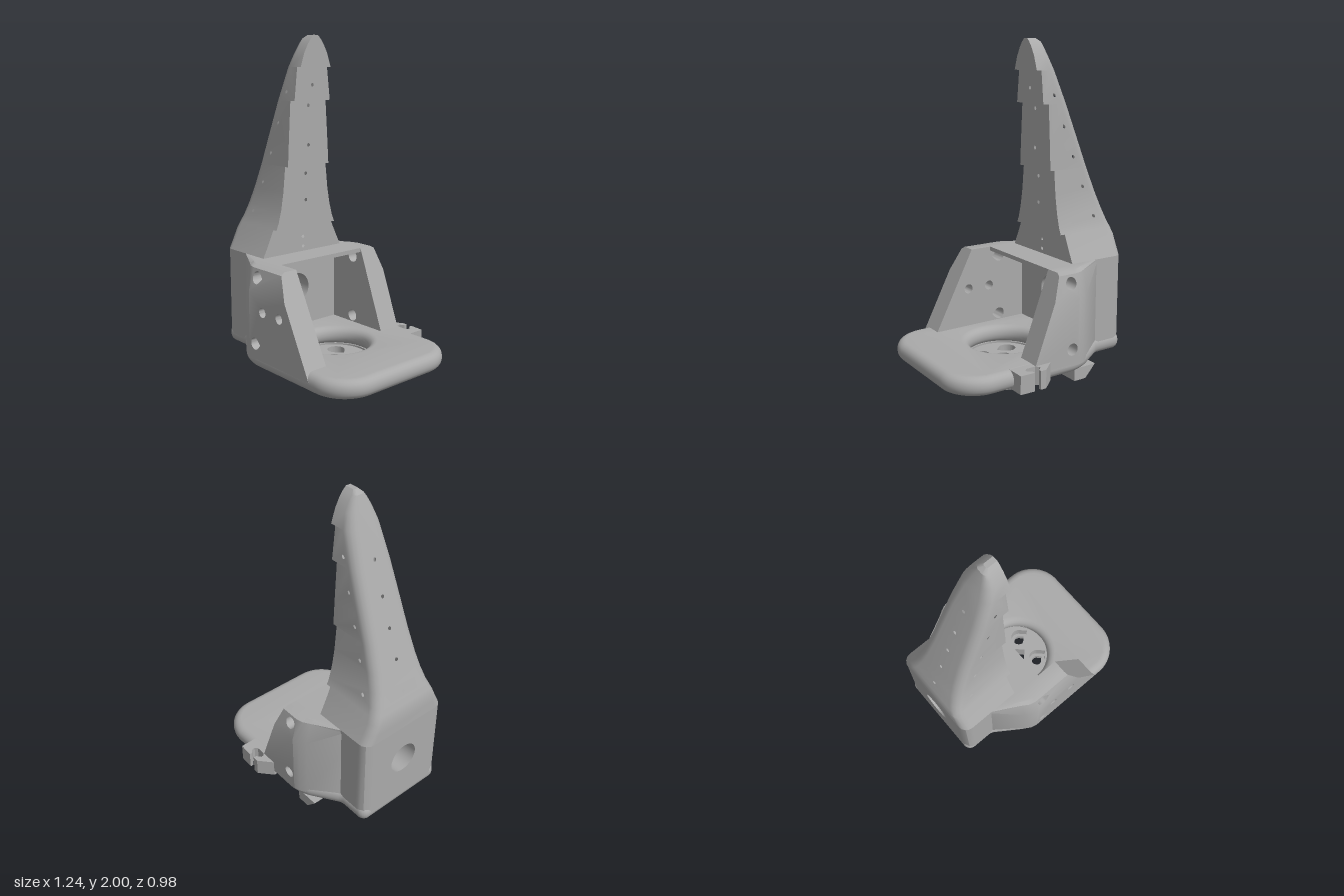
import * as THREE from 'three';
import { mergeGeometries, toCreasedNormals } from 'three/addons/utils/BufferGeometryUtils.js';

const ZC = 0.035; // symmetry plane of the bracket
const grey = new THREE.MeshStandardMaterial({ color: 0xaaaaaa, side: THREE.DoubleSide });
grey.name = 'grey plastic';

function mesh(name, geo, crease = 0.5) {
  const m = new THREE.Mesh(toCreasedNormals(geo, crease), grey);
  m.name = name;
  return m;
}

const poly = pts => new THREE.Shape(pts.map(p => new THREE.Vector2(p[0], p[1])));

function circle(x, y, r, Type = THREE.Path) {
  const p = new Type();
  p.absarc(x, y, r, 0, Math.PI * 2);
  return p;
}

// round hole with a pointed side towards +x
function teardrop(x, y, r) {
  const p = new THREE.Path();
  p.absarc(x, y, r, Math.PI / 4, Math.PI * 1.75);
  p.lineTo(x + r * 1.414, y);
  p.closePath();
  return p;
}

// polygon of [x, y, corner size]
function roundPoly(pts) {
  const s = new THREE.Shape(), n = pts.length;
  pts.forEach(([x, y, r], i) => {
    const p = new THREE.Vector2(x, y);
    const toward = q => new THREE.Vector2(q[0], q[1]).sub(p).setLength(r).add(p);
    const a = toward(pts[(i + n - 1) % n]), b = toward(pts[(i + 1) % n]);
    if (i) s.lineTo(a.x, a.y); else s.moveTo(a.x, a.y);
    const k = 0.2; // cubic handles close to a circular arc
    s.bezierCurveTo(p.x + (a.x - p.x) * (k + 0.25), p.y + (a.y - p.y) * (k + 0.25),
      p.x + (b.x - p.x) * (k + 0.25), p.y + (b.y - p.y) * (k + 0.25), b.x, b.y);
  });
  s.closePath();
  return s;
}

// extrude an (x, z) outline between two heights, optionally with rounded edges
function plan(shape, y0, y1, bevel = 0) {
  const g = new THREE.ExtrudeGeometry(shape, {
    depth: y1 - y0 - 2 * bevel, curveSegments: 20, bevelEnabled: bevel > 0,
    bevelThickness: bevel, bevelSize: bevel, bevelOffset: -bevel, bevelSegments: 5,
  });
  return g.rotateX(Math.PI / 2).translate(0, y1 - bevel, 0);
}

function warp(g, rule) {
  const p = g.attributes.position, v = new THREE.Vector3();
  for (let i = 0; i < p.count; i++) {
    v.fromBufferAttribute(p, i);
    rule(v);
    p.setXYZ(i, v.x, v.y, v.z);
  }
  return g;
}

// mirror a non-indexed geometry in z and restore its winding
function mirrorZ(g) {
  g.scale(1, 1, -1);
  const p = g.attributes.position, a = new THREE.Vector3(), b = new THREE.Vector3();
  for (let i = 0; i < p.count; i += 3) {
    a.fromBufferAttribute(p, i);
    b.fromBufferAttribute(p, i + 2);
    p.setXYZ(i, b.x, b.y, b.z);
    p.setXYZ(i + 2, a.x, a.y, a.z);
  }
  return g;
}

// side wall: upright panel with slanted end, plus the corner that runs into the block
function sideWall(name, side, xLow, xTop, holes) {
  const bands = [[0.17, 0.57, 0, 0], [0.57, 0.705, 0, 0.035], [0.705, 0.72, 0.035, 0.06]];
  const end = y => xLow + (xTop - xLow) * (y - 0.23) / 0.49;
  const corner = [[-0.44, 0.265], [-0.43, 0.29], [-0.25, 0.42], [-0.21, 0.445],
    [-0.17, 0.455], [-0.17, 0.31], [-0.3, 0.31], [-0.3, 0.265]];
  const parts = [];
  for (const [y0, y1, d0, d1] of bands) {
    const lean = v => { if (v.z > 0.35) v.z -= d0 + (d1 - d0) * (v.y - y0) / (y1 - y0); };
    const s = poly([[-0.17, y0], [end(y0), y0], [end(y1), y1], [-0.17, y1]]);
    for (const [x, y, r, drop] of holes)
      if (y > y0 && y < y1) s.holes.push(drop ? teardrop(x, y, r) : circle(x, y, r));
    const panel = new THREE.ExtrudeGeometry(s, { depth: 0.145, bevelEnabled: false });
    parts.push(warp(panel.translate(0, 0, 0.31), lean), warp(plan(poly(corner), y0, y1), lean));
  }
  let g = mergeGeometries(parts);
  if (side < 0) g = mirrorZ(g);
  g.deleteAttribute('normal');
  return mesh(name, g.translate(0, 0, ZC), 0.6);
}

// finger: stacked sections with a stepped front, rounded back edges and pin holes
function fingerGeometry() {
  const widths = [[0.72, 0.3], [0.78, 0.27], [0.84, 0.242], [0.88, 0.225], [0.92, 0.208], [1, 0.187],
    [1.1, 0.17], [1.25, 0.155], [1.4, 0.147], [1.63, 0.133], [1.82, 0.112], [1.9, 0.085],
    [1.95, 0.058], [1.98, 0.036], [2, 0.015]];
  const steps = [[0.88, -0.235], [1.25, -0.205], [1.63, -0.178], [1.82, -0.14], [2, -0.108]];
  const frontHoles = [0.75, 0.81, 1.04, 1.2, 1.37, 1.6, 1.72];
  const sideHoles = [0.96, 1.14, 1.32, 1.5, 1.68];
  const backHoles = [0.95, 1.13, 1.3, 1.47, 1.66, 1.79];
  const back = y => y < 0.85 ? -0.62 : y > 1.98 ? -0.17 : -0.62 + (y - 0.85) * 0.372;
  const ring = (y, hw, xf) => {
    const r = Math.min(0.06, hw * 0.6), xb = back(y), arc = [];
    for (let k = 0; k <= 4; k++) {
      const a = k * Math.PI / 8;
      arc.push([xb + r - r * Math.cos(a), hw - r + r * Math.sin(a)]);
    }
    const half = [...arc, [xf, hw]];
    return [...half, ...half.map(([x, z]) => [x, -z]).reverse()]
      .map(([x, z]) => new THREE.Vector3(x, y, z));
  };
  const out = [];
  // four-sided face, counter-clockwise, with an optional hole at (u, v)
  const face = (A, B, C, D, u, v) => {
    const s = poly([[0, 0], [1, 0], [1, 1], [0, 1]]);
    if (u !== undefined) {
      const h = new THREE.Path();
      h.absellipse(u, v, 0.011 / A.distanceTo(B), 0.011 / A.distanceTo(D), 0, Math.PI * 2);
      s.holes.push(h);
    }
    const g = new THREE.ShapeGeometry(s, 5).toNonIndexed(), p = g.attributes.position;
    for (let i = 0; i < p.count; i++) {
      const low = A.clone().lerp(B, p.getX(i)), top = D.clone().lerp(C, p.getX(i));
      out.push(...low.lerp(top, p.getY(i)).toArray());
    }
  };
  let before = null;
  for (let i = 0; i + 1 < widths.length; i++) {
    const [y0, w0] = widths[i], [y1, w1] = widths[i + 1];
    const xf = steps.find(s => s[0] >= y1)[1];
    const lo = ring(y0, w0, xf), hi = ring(y1, w1, xf), n = lo.length;
    for (let k = 0; k < n; k++) {
      const isSide = k === 4 || k === 6;
      const list = isSide ? sideHoles : k === 5 ? frontHoles : k === n - 1 ? backHoles : [];
      const y = list.find(h => h > y0 && h < y1);
      let u, v;
      if (y !== undefined) {
        v = (y - y0) / (y1 - y0);
        const xa = lo[4].x + (hi[4].x - lo[4].x) * v;
        u = isSide ? (-0.47 + (y - 0.96) * 0.347 - xa) / (xf - xa) : 0.5;
        if (k === 6) u = 1 - u;
      }
      const m = (k + 1) % n;
      face(lo[k], lo[m], hi[m], hi[k], u, v);
    }
    if (before && before[5].x !== xf) face(before[5], before[6], lo[6], lo[5]); // step underside
    before = hi;
  }
  for (let k = 1; k + 1 < before.length; k++) // tip cap
    for (const q of [before[0], before[k], before[k + 1]]) out.push(...q.toArray());
  const g = new THREE.BufferGeometry();
  g.setAttribute('position', new THREE.Float32BufferAttribute(out, 3));
  return g.translate(0, 0, ZC);
}

export function createModel() {
  const model = new THREE.Group();
  model.name = 'fingerBracket';

  // base plate with round recess
  const plate = roundPoly([[-0.62, -0.27, 0.05], [-0.43, -0.27, 0.02], [-0.2, -0.42, 0.08], [0.615, -0.42, 0.22],
    [0.615, 0.49, 0.22], [-0.2, 0.49, 0.08], [-0.43, 0.335, 0.02], [-0.62, 0.335, 0.05]]);
  plate.holes.push(circle(0.05, ZC, 0.205));
  model.add(mesh('basePlate', plan(plate, 0.12, 0.23, 0.05)));

  // mounting boss: screw holes below, wider pockets above
  const layer = (radius, center, hole) => {
    const s = circle(0.05, ZC, radius, THREE.Shape);
    if (center) s.holes.push(teardrop(0.05, ZC, center));
    for (const x of [-0.04, 0.15]) for (const z of [-0.06, 0.13]) s.holes.push(teardrop(x, z, hole));
    return s;
  };
  model.add(mesh('bossFloor', plan(layer(0.227, 0.05, 0.032), 0, 0.04)));
  model.add(mesh('bossPockets', plan(layer(0.227, 0.05, 0.052), 0.04, 0.12)));
  const collar = circle(0.05, ZC, 0.27, THREE.Shape);
  collar.holes.push(circle(0.05, ZC, 0.215));
  model.add(mesh('bossCollar', plan(collar, 0.119, 0.13)));

  // rear block with a bore, its outer upright edges rounded
  const blockShape = poly([[-0.3, 0.17], [0.3, 0.17], [0.3, 0.72], [-0.3, 0.72]]);
  blockShape.holes.push(circle(0, 0.47, 0.095));
  const block = new THREE.ExtrudeGeometry(blockShape, { depth: 0.32, steps: 16, curveSegments: 20, bevelEnabled: false });
  block.rotateY(Math.PI / 2).translate(-0.62, 0, 0);
  warp(block, v => {
    const t = 0.06 - (v.x + 0.62);
    if (t > 0 && Math.abs(v.z) > 0.2) v.z -= Math.sign(v.z) * (0.06 - Math.sqrt(0.0036 - Math.min(t * t, 0.0036)));
  });
  block.translate(0, 0, ZC);
  model.add(mesh('rearBlock', block));

  // side walls and the bridge between them
  model.add(sideWall('frontWall', 1, 0.33, 0.08,
    [[-0.12, 0.27, 0.036, true], [-0.12, 0.655, 0.036, true], [-0.045, 0.47, 0.029], [0.105, 0.47, 0.029]]));
  model.add(sideWall('backWall', -1, 0.13, -0.055, [[-0.125, 0.27, 0.036], [-0.125, 0.655, 0.036]]));
  const bridge = new THREE.BoxGeometry(0.245, 0.025, 0.62).translate(-0.1775, 0.7075, ZC);
  model.add(mesh('bridge', bridge));

  // clip on the rear edge
  const clip = poly([[0.03, -0.42], [0.11, -0.49], [0.145, -0.49], [0.145, -0.47], [0.12, -0.45], [0.12, -0.435],
    [0.135, -0.42], [0.195, -0.42], [0.21, -0.435], [0.21, -0.45], [0.185, -0.47], [0.185, -0.49],
    [0.275, -0.485], [0.275, -0.37], [0.03, -0.37]]);
  model.add(mesh('cableClip', plan(clip, 0.121, 0.229)));

  // small hook under the plate
  const hook = new THREE.ExtrudeGeometry(poly([[-0.32, 0.13], [-0.25, 0.055], [-0.17, 0.055], [-0.17, 0.13]]),
    { depth: 0.12, bevelEnabled: false });
  model.add(mesh('underHook', hook.translate(0, 0, -0.385)));

  model.add(mesh('finger', fingerGeometry()));
  return model;
}
